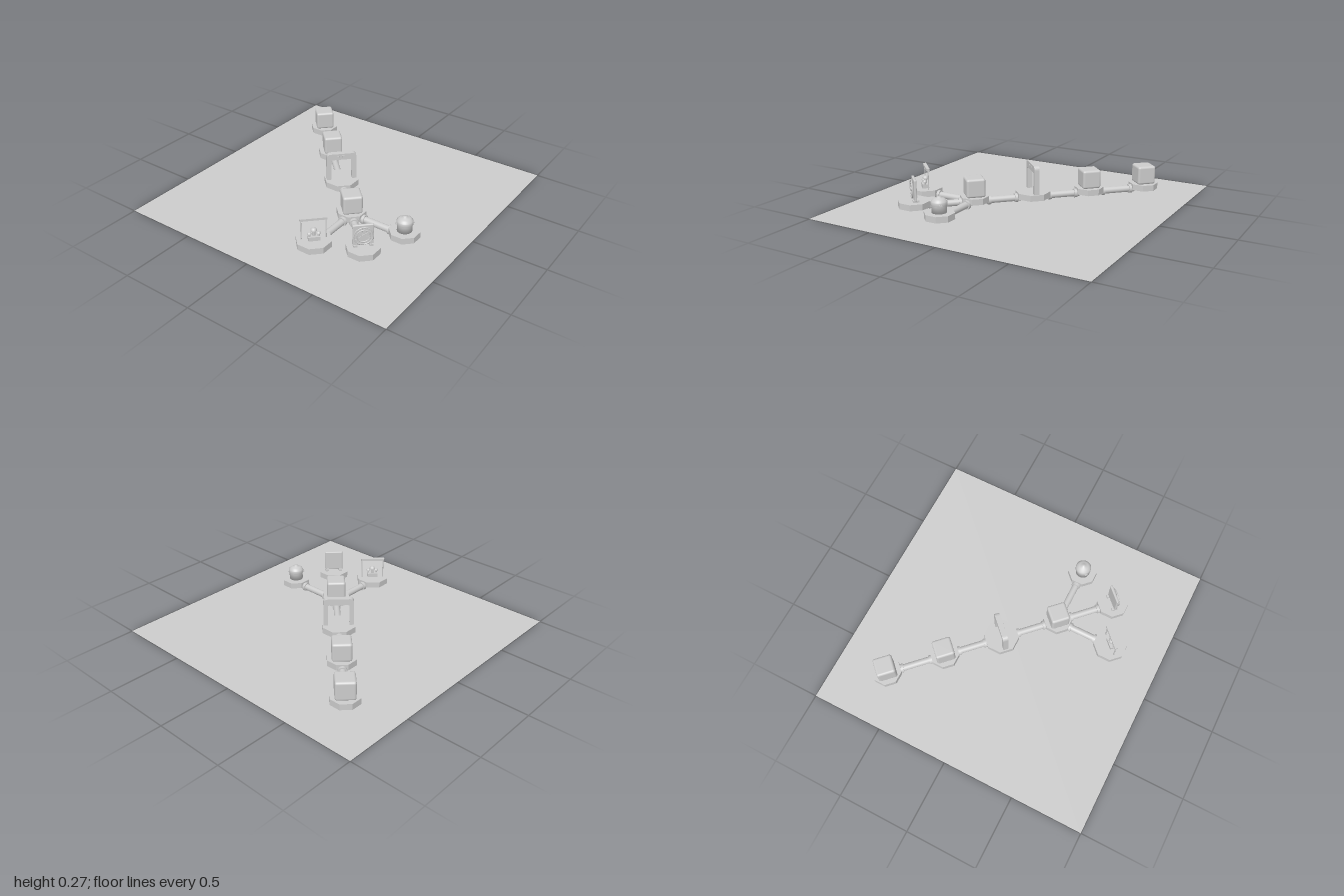
import * as THREE from 'three';
import { RoundedBoxGeometry } from 'three/addons/geometries/RoundedBoxGeometry.js';

const DECK = 0.072; // top of the platforms
const grey = new THREE.MeshStandardMaterial({ color: 0xcccccc, side: THREE.DoubleSide });
grey.name = 'grey';

function add(parent, name, geometry, x = 0, y = 0, z = 0) {
  const mesh = new THREE.Mesh(geometry, grey);
  mesh.name = name;
  mesh.position.set(x, y, z);
  parent.add(mesh);
  return mesh;
}
const box = (w, h, d) => new THREE.BoxGeometry(w, h, d);
const cyl = (r, h, n = 24) => new THREE.CylinderGeometry(r, r, h, n);

// Octagonal platform with flat sides facing the axes
function platform(parent, apothem) {
  const g = cyl(apothem / Math.cos(Math.PI / 8), 0.042, 8).rotateY(Math.PI / 8).toNonIndexed();
  g.computeVertexNormals();
  add(parent, 'platform', g, 0, DECK - 0.021, 0);
}

// Pipe with a collar where it meets each platform
function pipe(parent, a, b) {
  const group = new THREE.Group();
  group.name = 'pipe';
  const dx = b.x - a.x, dz = b.z - a.z, length = Math.hypot(dx, dz);
  group.position.set(a.x, 0.032, a.z);
  group.rotation.y = Math.atan2(dx, dz);
  const start = a.r + 0.008, end = length - b.r - 0.008;
  add(group, 'tube', cyl(0.023, end - start + 0.06).rotateX(Math.PI / 2), 0, 0, (start + end) / 2);
  for (const z of [start, end]) add(group, 'collar', cyl(0.031, 0.022).rotateX(Math.PI / 2), 0, 0, z);
  parent.add(group);
}

function block(g) {
  add(g, 'block', new RoundedBoxGeometry(0.13, 0.13, 0.13, 4, 0.016), 0, DECK + 0.064, 0);
}

function arch(g) {
  const W = 0.103, w = 0.073, H = 0.198, h = 0.153, R = 0.03, r = 0.012;
  const s = new THREE.Shape();
  s.moveTo(-W, 0);
  s.lineTo(-W, H - R);
  s.quadraticCurveTo(-W, H, -W + R, H);
  s.lineTo(W - R, H);
  s.quadraticCurveTo(W, H, W, H - R);
  s.lineTo(W, 0);
  s.lineTo(w, 0);
  s.lineTo(w, h - r);
  s.quadraticCurveTo(w, h, w - r, h);
  s.lineTo(-w + r, h);
  s.quadraticCurveTo(-w, h, -w, h - r);
  s.lineTo(-w, 0);
  add(g, 'arch', new THREE.ExtrudeGeometry(s, { depth: 0.036, bevelEnabled: false }), 0, DECK, -0.018);
  // Row of small studs on the lintel
  for (let i = -1.5; i < 2; i++) add(g, 'stud', box(0.011, 0.012, 0.005), i * 0.017, DECK + 0.178, 0.019);
}

function pot(g) {
  const profile = [[0, 0], [0.049, 0], [0.049, 0.048], [0.054, 0.05], [0.054, 0.071], [0.049, 0.074],
    [0.045, 0.084], [0.032, 0.093], [0.012, 0.097], [0.012, 0.104], [0, 0.105]];
  add(g, 'lidPot', new THREE.LatheGeometry(profile.map(p => new THREE.Vector2(...p)), 32), 0, DECK, 0);
  for (const s of [-1, 1]) add(g, 'potHandle', box(0.012, 0.008, 0.02), s * 0.055, DECK + 0.058, 0);
}

function fan(g) {
  const y = DECK + 0.081;
  add(g, 'fanPanel', new RoundedBoxGeometry(0.132, 0.146, 0.018, 3, 0.007), 0, y, -0.005);
  for (const s of [-1, 1]) add(g, 'fanFoot', box(0.024, 0.014, 0.042), s * 0.05, DECK + 0.007, -0.008);
  // Round grille: rings, hub and blades
  for (const r of [0.06, 0.042]) add(g, 'grilleRing', new THREE.TorusGeometry(r, 0.004, 8, 32), 0, y, 0.014);
  add(g, 'fanHub', cyl(0.013, 0.02).rotateX(Math.PI / 2), 0, y, 0.012);
  for (let i = 0; i < 6; i++) {
    const blade = add(g, 'fanBlade', box(0.012, 0.05, 0.004).translate(0, 0.034, 0), 0, y, 0.012);
    blade.rotation.z = i * Math.PI / 3;
  }
}

function stall(g) {
  for (const s of [-1, 1]) add(g, 'post', cyl(0.004, 0.14, 10), s * 0.078, DECK + 0.07, -0.006);
  add(g, 'topBar', box(0.172, 0.016, 0.022), 0, DECK + 0.143, -0.006);
  add(g, 'pedestal', box(0.075, 0.028, 0.045), 0, DECK + 0.014, 0.006);
  // Three capped stems on the pedestal
  for (const [x, z, h, r] of [[0, 0.002, 0.04, 0.021], [-0.029, 0.012, 0.022, 0.014], [0.029, 0.012, 0.022, 0.014]]) {
    add(g, 'stem', cyl(r * 0.5, h, 12), x, DECK + 0.028 + h / 2, z);
    const cap = new THREE.SphereGeometry(r, 16, 8, 0, Math.PI * 2, 0, Math.PI / 2);
    add(g, 'cap', cap, x, DECK + 0.022 + h, z);
  }
}

export function createModel() {
  const model = new THREE.Group();
  model.name = 'pipelineDiagram';
  add(model, 'ground', new THREE.PlaneGeometry(2, 2).rotateX(-Math.PI / 2), 0, 0.002, 0);

  // Stations: position, platform apothem, object standing on it
  const stations = [
    { x: -0.64, z: -0.64, r: 0.094, build: block },
    { x: -0.35, z: -0.35, r: 0.094, build: block },
    { x: -0.06, z: -0.06, r: 0.112, build: arch },
    { x: 0.23, z: 0.23, r: 0.092, build: block },
    { x: 0.637, z: 0.23, r: 0.094, build: pot },
    { x: 0.52, z: 0.52, r: 0.102, build: fan },
    { x: 0.23, z: 0.635, r: 0.108, build: stall },
  ];
  for (const s of stations) {
    const station = new THREE.Group();
    station.name = s.build.name + 'Station';
    station.position.set(s.x, 0, s.z);
    platform(station, s.r);
    const top = new THREE.Group();
    top.name = s.build.name;
    top.rotation.y = Math.PI / 4;
    s.build(top);
    station.add(top);
    model.add(station);
  }
  for (const [a, b] of [[0, 1], [1, 2], [2, 3], [3, 4], [3, 5], [3, 6]]) pipe(model, stations[a], stations[b]);
  return model;
}
